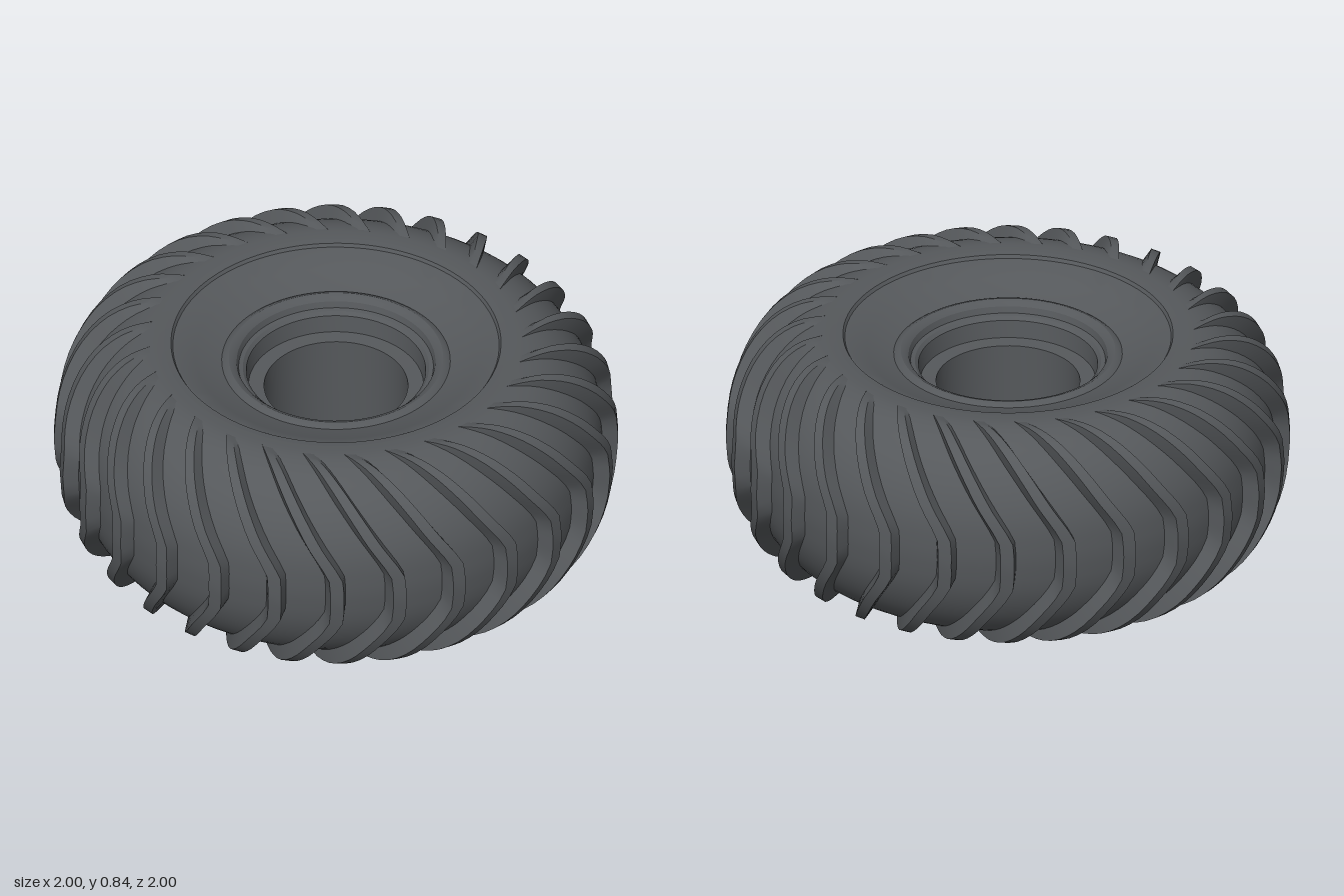
import * as THREE from 'three';
import { toCreasedNormals } from 'three/addons/utils/BufferGeometryUtils.js';

const MID = 0.415; // half the tyre width
const LUGS = 28;
const rubber = new THREE.MeshStandardMaterial({ color: 0x55585b });

const vec = ([r, y]) => new THREE.Vector2(r, y);

// Half profiles as [radius, distance from the middle plane]
const carcass = new THREE.SplineCurve([
  [0.945, 0], [0.935, 0.12], [0.9, 0.225], [0.84, 0.315], [0.76, 0.38], [0.68, 0.408], [0.61, 0.408],
].map(vec));
const crest = new THREE.SplineCurve([
  [1, 0], [0.99, 0.12], [0.965, 0.215], [0.915, 0.31], [0.845, 0.38], [0.765, 0.414], [0.69, 0.415], [0.63, 0.4],
].map(vec));

function addLathe(group, name, points) {
  const geo = toCreasedNormals(new THREE.LatheGeometry(points, 84), 0.5);
  const mesh = new THREE.Mesh(geo, rubber);
  mesh.name = name;
  group.add(mesh);
}

// One chevron tread bar, swept from the lower shoulder over the tread to the upper one
function lugGeometry() {
  const steps = 36;
  const pos = [];
  const index = [];
  for (let i = 0; i <= steps; i++) {
    const t = (i / steps) * 2 - 1;
    const k = Math.abs(t);
    const side = Math.sign(t);
    const top = crest.getPoint(k);
    const base = carcass.getPoint(k);
    // both arms sweep back from a short straight middle
    const lean = 0.03 - 0.43 * Math.pow(Math.max(0, k - 0.1) / 0.9, 1.05);
    const width = THREE.MathUtils.lerp(0.024, 0.012, k * k);
    const section = [
      [base, -width - 0.022, 0.985], [top, -width, 1], [top, width, 1], [base, width + 0.008, 0.985],
    ];
    for (const [p, across, sink] of section) {
      const a = lean + across / p.x;
      const r = p.x * sink;
      pos.push(Math.sin(a) * r, MID + side * p.y * sink, Math.cos(a) * r);
    }
    if (i === steps) continue;
    for (let j = 0; j < 3; j++) {
      const a = i * 4 + j;
      index.push(a, a + 1, a + 4, a + 1, a + 5, a + 4);
    }
  }
  const geo = new THREE.BufferGeometry();
  geo.setAttribute('position', new THREE.Float32BufferAttribute(pos, 3));
  geo.setIndex(index);
  return toCreasedNormals(geo, 0.6);
}

export function createModel() {
  const model = new THREE.Group();
  model.name = 'tractorTyre';

  // Rounded tyre body, mirrored about the middle plane
  const half = carcass.getPoints(18);
  const lower = half.slice(1).reverse().map((p) => new THREE.Vector2(p.x, MID - p.y));
  const upper = half.map((p) => new THREE.Vector2(p.x, MID + p.y));
  addLathe(model, 'tyreBody', [...lower, ...upper]);

  // Upper wheel face: lip, sloping dish, bead ring and stepped hub well
  addLathe(model, 'upperWheelFace', [
    [0.61, 0.823], [0.585, 0.82], [0.578, 0.808], [0.57, 0.808], [0.5, 0.772], [0.405, 0.742],
    [0.392, 0.752], [0.38, 0.755], [0.365, 0.75], [0.352, 0.738], [0.345, 0.715], [0.33, 0.712],
    [0.318, 0.7], [0.31, 0.635], [0.255, 0.632], [0.25, 0.27], [0, 0.27],
  ].map(vec));

  // Lower wheel face: dish, bead ring and closed hub disc
  addLathe(model, 'lowerWheelFace', [
    [0, 0.2], [0.335, 0.2], [0.352, 0.12], [0.362, 0.1], [0.378, 0.09], [0.395, 0.096],
    [0.41, 0.115], [0.5, 0.085], [0.57, 0.058], [0.578, 0.058], [0.588, 0.03], [0.61, 0.007],
  ].map(vec));

  // Ring of tread bars
  const tread = new THREE.Group();
  tread.name = 'tread';
  const lug = lugGeometry();
  for (let i = 0; i < LUGS; i++) {
    const bar = new THREE.Mesh(lug, rubber);
    bar.name = 'treadBar';
    bar.rotation.y = (i / LUGS) * Math.PI * 2;
    tread.add(bar);
  }
  model.add(tread);
  return model;
}
